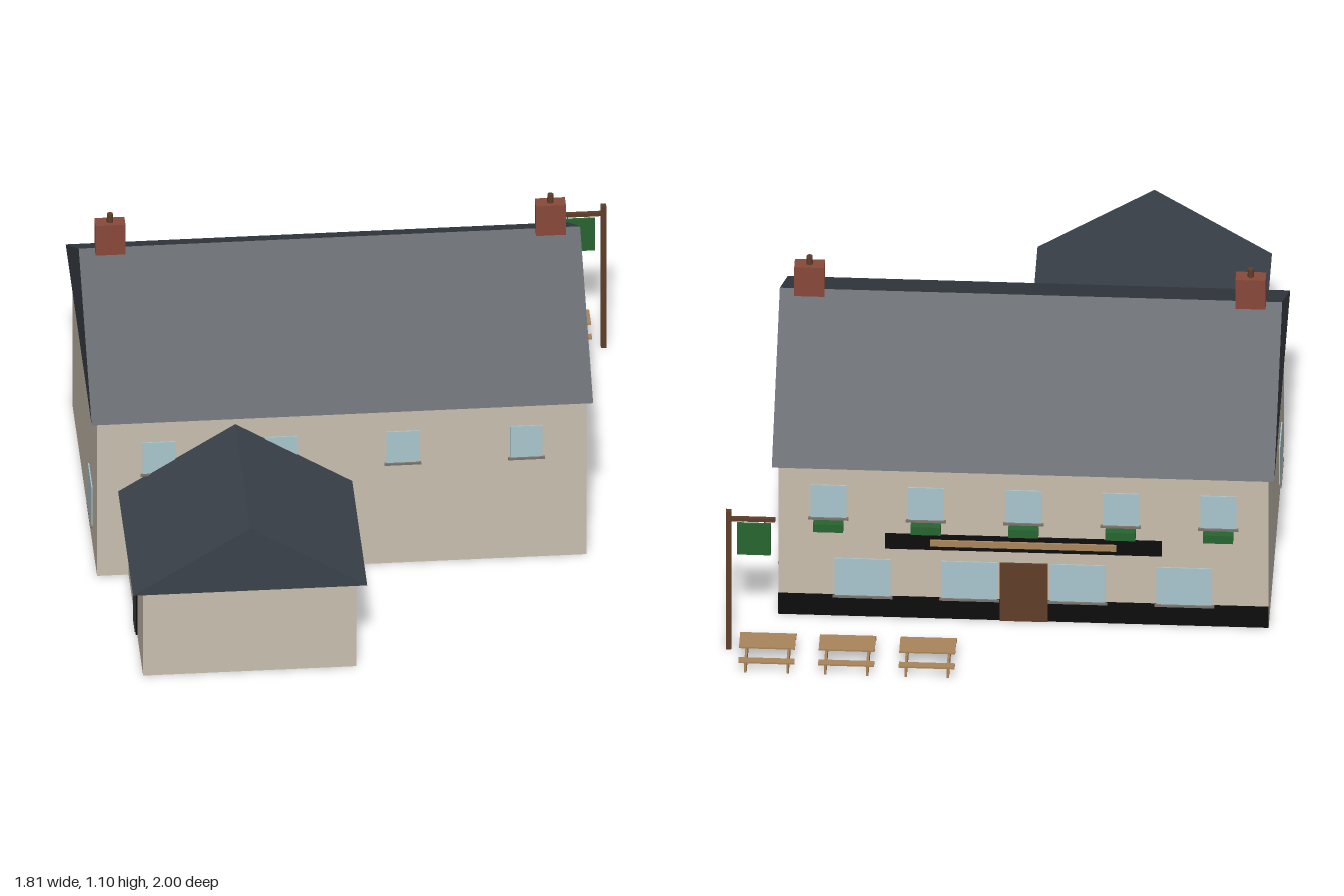
import * as THREE from 'three';

const mat = (name, color) => {
  const m = new THREE.MeshStandardMaterial({ color });
  m.name = name;
  return m;
};

export function createModel() {
  const M = {
    wall: mat('stone wall', 0xc8beae),
    roof: mat('slate', 0x3b424a),
    brick: mat('brick', 0x88493a),
    glass: mat('pale glass', 0xa9c6ce),
    sill: mat('grey sill', 0x7a736b),
    black: mat('black paint', 0x0c0c0c),
    wood: mat('light timber', 0xa9855b),
    dark: mat('dark timber', 0x5f3d28),
    green: mat('green', 0x276530),
  };
  const model = new THREE.Group();
  model.name = 'countryInn';

  // Box given by its limits on each axis
  const box = (parent, name, material, [x0, x1], [y0, y1], [z0, z1]) => {
    const mesh = new THREE.Mesh(new THREE.BoxGeometry(x1 - x0, y1 - y0, z1 - z0), material);
    mesh.position.set((x0 + x1) / 2, (y0 + y1) / 2, (z0 + z1) / 2);
    mesh.name = name;
    parent.add(mesh);
    return mesh;
  };
  const group = (parent, name, x, y, z, turn = 0) => {
    const g = new THREE.Group();
    g.name = name;
    g.position.set(x, y, z);
    g.rotation.y = turn;
    parent.add(g);
    return g;
  };
  // Solid gable roof, ridge along local z
  const gable = (name, halfWidth, rise, length) => {
    const s = new THREE.Shape();
    s.moveTo(-halfWidth, 0);
    s.lineTo(halfWidth, 0);
    s.lineTo(0, rise);
    s.closePath();
    const mesh = new THREE.Mesh(new THREE.ExtrudeGeometry(s, { depth: length, bevelEnabled: false }), M.roof);
    mesh.name = name;
    model.add(mesh);
    return mesh;
  };
  // Pane and sill on a wall whose outward side is local +z
  const addWindow = (wall, x, y0, y1, w) => {
    const g = group(wall, 'window', x, 0, 0);
    box(g, 'pane', M.glass, [-w / 2, w / 2], [y0, y1], [-0.002, 0.004]);
    box(g, 'sill', M.sill, [-w / 2 - 0.007, w / 2 + 0.007], [y0 - 0.008, y0], [-0.002, 0.009]);
  };

  // Main house and rear wing
  box(model, 'mainWalls', M.wall, [-0.89, 0.74], [0, 0.622], [-0.65, 0.375]);
  box(model, 'wingWalls', M.wall, [-0.785, -0.075], [0, 0.336], [0.37, 0.98]);
  const mainRoof = gable('mainRoof', 0.542, 0.345, 1.67);
  mainRoof.rotation.y = Math.PI / 2;
  mainRoof.position.set(-0.91, 0.62, -0.14);
  const wingRoof = gable('wingRoof', 0.39, 0.248, 0.628);
  wingRoof.position.set(-0.43, 0.334, 0.372);

  // Chimneys
  for (const x of [-0.806, 0.661]) {
    const g = group(model, 'chimney', x, 0, -0.14);
    box(g, 'stack', M.brick, [-0.05, 0.05], [0.945, 1.068], [-0.024, 0.024]);
    const pot = new THREE.Mesh(new THREE.CylinderGeometry(0.01, 0.011, 0.034, 12), M.dark);
    pot.name = 'chimneyPot';
    pot.position.y = 1.082;
    g.add(pot);
  }

  // Wall facing +z
  const frontWall = group(model, 'frontWallDetails', 0, 0, 0.375);
  for (const x of [-0.685, -0.278, 0.128, 0.54]) addWindow(frontWall, x, 0.402, 0.525, 0.108);

  // Wall facing +x
  const leftWall = group(model, 'leftWallDetails', 0.74, 0, 0, Math.PI / 2);
  for (const z of [0.12, -0.393]) {
    addWindow(leftWall, -z, 0.402, 0.533, 0.12);
    addWindow(leftWall, -z, 0.082, 0.23, 0.15);
  }

  // Wall facing -x, and the wing's side door
  const rightWall = group(model, 'rightWallDetails', -0.89, 0, 0, -Math.PI / 2);
  addWindow(rightWall, 0.12, 0.082, 0.23, 0.15);
  const sideDoor = group(model, 'sideDoor', -0.785, 0, 0.68, -Math.PI / 2);
  box(sideDoor, 'doorFrame', M.black, [-0.056, 0.056], [0, 0.222], [-0.002, 0.005]);
  box(sideDoor, 'doorLeaf', M.roof, [-0.04, 0.04], [0, 0.206], [0.003, 0.007]);

  // Entrance side facing -z
  const street = group(model, 'entranceSide', -0.075, 0, -0.65, Math.PI);
  for (let i = -2; i <= 2; i++) {
    addWindow(street, i * 0.324, 0.402, 0.533, 0.12);
    box(street, 'planter', M.green, [i * 0.324 - 0.05, i * 0.324 + 0.05], [0.36, 0.392], [0.004, 0.032]);
  }
  for (const x of [-0.535, -0.18, 0.18, 0.535]) addWindow(street, x, 0.085, 0.235, 0.185);
  for (const s of [-1, 1])
    box(street, 'plinth', M.black, [Math.min(s * 0.08, s * 0.815), Math.max(s * 0.08, s * 0.815)], [0, 0.085], [-0.002, 0.003]);
  box(street, 'entranceDoor', M.dark, [-0.08, 0.08], [0, 0.235], [-0.002, 0.007]);
  box(street, 'nameBoard', M.black, [-0.46, 0.46], [0.282, 0.342], [-0.002, 0.006]);
  box(street, 'boardPlank', M.wood, [-0.31, 0.31], [0.301, 0.325], [0.004, 0.013]);

  // Hanging sign
  const sign = group(model, 'hangingSign', 0.895, 0, -0.855);
  box(sign, 'post', M.dark, [-0.009, 0.009], [0, 0.565], [-0.009, 0.009]);
  box(sign, 'arm', M.dark, [-0.155, 0.009], [0.525, 0.539], [-0.006, 0.006]);
  box(sign, 'signPanel', M.green, [-0.14, -0.028], [0.388, 0.515], [-0.004, 0.004]);
  for (const x of [-0.12, -0.048])
    box(sign, 'hanger', M.dark, [x - 0.002, x + 0.002], [0.513, 0.527], [-0.002, 0.002]);

  // Picnic tables
  for (const x of [0.23, 0.4975, 0.7625]) {
    const t = group(model, 'picnicTable', x, 0, -0.916);
    box(t, 'tableTop', M.wood, [-0.093, 0.093], [0.075, 0.081], [-0.041, 0.041]);
    for (const s of [-1, 1]) {
      box(t, 'seat', M.wood, [-0.093, 0.093], [0.045, 0.051], [s * 0.071 - 0.013, s * 0.071 + 0.013]);
      box(t, 'leg', M.wood, [s * 0.07 - 0.004, s * 0.07 + 0.004], [0, 0.045], [-0.073, 0.073]);
      box(t, 'topSupport', M.wood, [s * 0.07 - 0.003, s * 0.07 + 0.003], [0.044, 0.076], [-0.004, 0.004]);
    }
  }
  return model;
}
